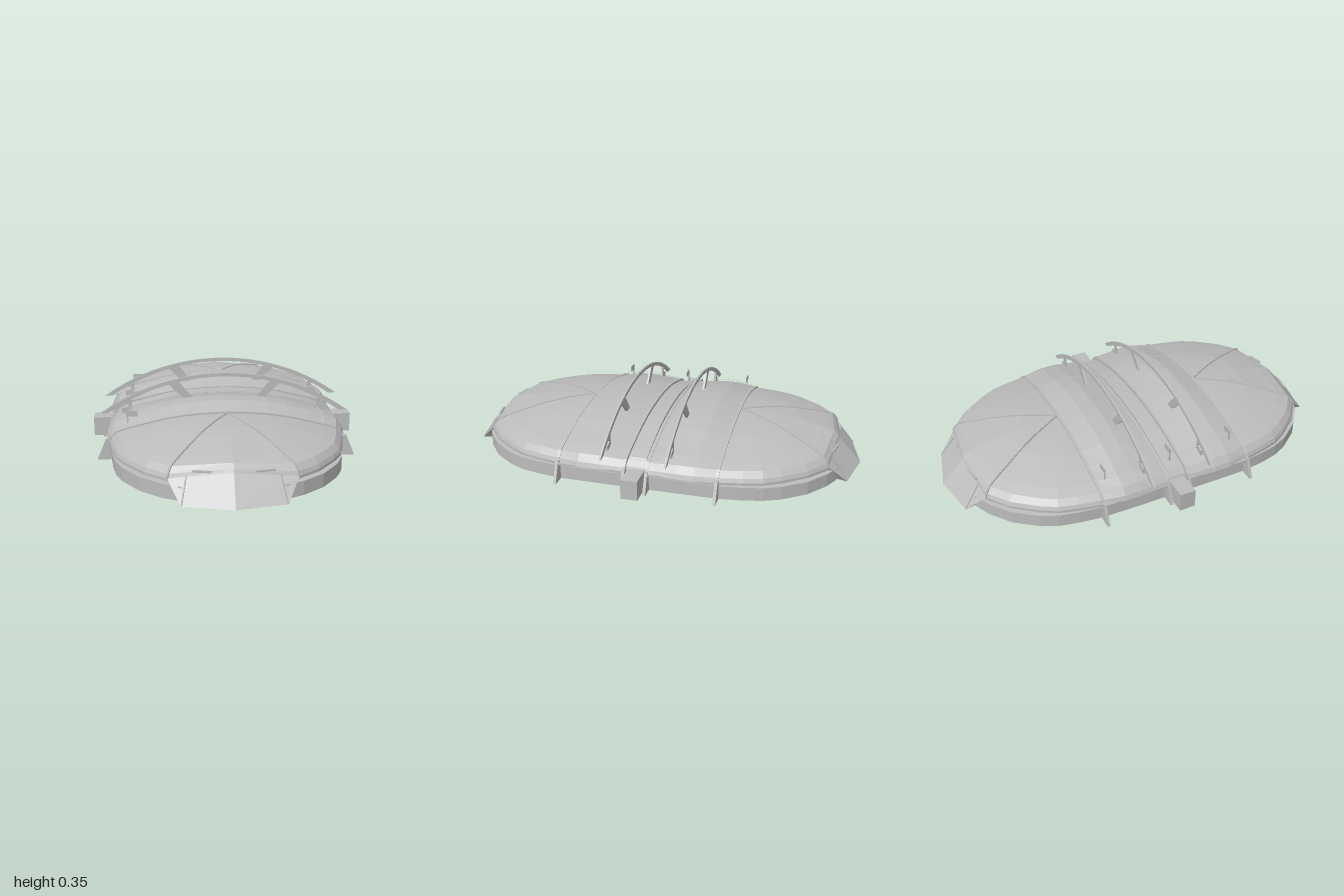
import * as THREE from 'three';

const grey = new THREE.MeshStandardMaterial({ color: 0xbcbcbc, side: THREE.DoubleSide });
grey.name = 'concrete grey';

// arch profile: [fraction of half span, fraction of rise]
const PROFILE = [[0, 1], [0.18, 0.98], [0.35, 0.92], [0.52, 0.81], [0.69, 0.64], [0.84, 0.48], [0.94, 0.34], [0.985, 0.14], [1, 0]];
const ARCH = [...PROFILE.slice(1).reverse().map(([u, v]) => [-u, v]), ...PROFILE];
const EDGE = 0.088;

function add(parent, name, geometry, x = 0, y = 0, z = 0) {
  const m = new THREE.Mesh(geometry, grey);
  m.name = name;
  m.position.set(x, y, z);
  parent.add(m);
  return m;
}

// faceted surface through rows of points
function loft(rows) {
  const pos = [];
  for (let i = 0; i < rows.length - 1; i++) {
    for (let j = 0; j < rows[i].length - 1; j++) {
      const a = rows[i][j], b = rows[i][j + 1], c = rows[i + 1][j + 1], d = rows[i + 1][j];
      pos.push(...a, ...b, ...c, ...a, ...c, ...d);
    }
  }
  const g = new THREE.BufferGeometry();
  g.setAttribute('position', new THREE.Float32BufferAttribute(pos, 3));
  g.computeVertexNormals();
  return g;
}

// flat plate in the xy plane, centred on its thickness
function plate(points, thick) {
  const s = new THREE.Shape(points.map(([x, y]) => new THREE.Vector2(x, y)));
  return new THREE.ExtrudeGeometry(s, { depth: thick, bevelEnabled: false }).translate(0, 0, -thick / 2);
}

const archRow = (z, w, peak) => ARCH.map(([u, v]) => [u * w, EDGE + (peak - EDGE) * v, z]);

// arched rib following a roof section
function rib(w, peak, thick, above = 0.005, below = 0.014) {
  const row = archRow(0, w, peak);
  return plate([...row.map(([x, y]) => [x, y + above]), ...row.reverse().map(([x, y]) => [x, y - below])], thick);
}

function bar(a, b, r) {
  return new THREE.TubeGeometry(new THREE.LineCurve3(new THREE.Vector3(...a), new THREE.Vector3(...b)), 1, r, 4, false);
}

const mirrorX = pts => pts.map(([x, y]) => [-x, y]);
const mirrored = pts => [...pts, ...pts.slice(0, -1).reverse().map(([x, z]) => [x, -z])];

// plan outlines of the +x side, front to middle
const RIM = [[0.28, 0.86], [0.38, 0.78], [0.465, 0.67], [0.51, 0.59], [0.535, 0.5], [0.557, 0.39]];
const WALL = mirrored([[0.22, 0.9], [0.3, 0.86], [0.4, 0.78], [0.48, 0.67], [0.515, 0.59], [0.535, 0.5], [0.55, 0.39], [0.552, 0.2], [0.552, 0]]);

// one half of the building: front dome, roof bay, truss and +x wall
function buildHalf() {
  const g = new THREE.Group();

  // domed end roof, a fan of curved panels around the apex
  const rim = [...RIM.slice().reverse().map(([x, z]) => [x, EDGE, z]), [0, 0.12, 0.89],
    ...RIM.map(([x, z]) => [-x, EDGE, z])];
  const onDome = ([x, y, z], [u, v]) => [x * u, y + (0.22 - y) * v, 0.39 + (z - 0.39) * u];
  add(g, 'endDome', loft(PROFILE.map(p => rim.map(r => onDome(r, p)))));
  for (const s of [-1, 1]) {
    const path = PROFILE.map(p => new THREE.Vector3(...onDome([0.28 * s, EDGE, 0.86], p)));
    add(g, 'domeRidge', new THREE.TubeGeometry(new THREE.CatmullRomCurve3(path), 24, 0.005, 4, false));
  }
  add(g, 'domeEaves', loft([rim.map(([x, y, z]) => [-x, y - 0.012, z]), rim.map(([x, y, z]) => [-x, y, z])]));

  // sloping entrance prow
  add(g, 'entrancePanel', loft([
    [[-0.225, 0, 0.95], [0, 0, 1], [0.225, 0, 0.95]],
    [[-0.28, EDGE, 0.86], [0, 0.12, 0.89], [0.28, EDGE, 0.86]]]));
  for (const s of [-1, 1]) {
    add(g, 'entranceCheek', loft([
      [[0.225 * s, 0, 0.95], [0.2 * s, 0, 0.86]],
      [[0.28 * s, EDGE, 0.86], [0.24 * s, EDGE, 0.8]]]));
    add(g, 'entranceSlot', new THREE.BoxGeometry(0.08, 0.008, 0.01), 0.135 * s, 0.124, 0.878).rotation.y = 0.2 * s;
    add(g, 'entranceJoint', bar([0.222 * s, 0.002, 0.951], [0.2 * s, 0.105, 0.875], 0.003));
  }

  // raised roof bay beside the middle band
  add(g, 'roofBay', loft([[0.39, 0.557, 0.222], [0.28, 0.58, 0.253], [0.2, 0.58, 0.253], [0.12, 0.575, 0.235], [0.055, 0.57, 0.222]]
    .map(a => archRow(...a))));
  for (const [z, w, p] of [[0.385, 0.56, 0.222], [0.055, 0.57, 0.221]]) {
    add(g, 'bayRib', rib(w, p, 0.014), 0, 0, z);
    for (const s of [-1, 1]) {
      const fin = [[0.5, 0], [0.617, 0], [0.575, 0.1], [0.5, 0.1]];
      add(g, 'buttress', plate(s > 0 ? fin : mirrorX(fin), 0.014), 0, 0, z);
    }
  }
  for (const s of [-1, 1]) {
    add(g, 'roofSeam', loft([0.05, 0.12, 0.2, 0.28, 0.39].map((z, i) => {
      const y = [0.168, 0.175, 0.185, 0.185, 0.162][i];
      return [[0.462 * s, y, z], [0.47 * s, y - 0.001, z]];
    })));
    add(g, 'bayEaves', new THREE.BoxGeometry(0.05, 0.01, 0.33), 0.55 * s, 0.086, 0.22);
  }

  // free-standing roof arch with its struts
  const outer = [], inner = [];
  for (let i = 0; i <= 24; i++) {
    const t = i / 12 - 1;
    outer.push([0.62 * t, Math.sqrt(1.06 ** 2 - (0.62 * t) ** 2) - 0.705]);
    inner.push([0.58 * t, Math.sqrt(1.01 ** 2 - (0.58 * t) ** 2) - 0.672]);
  }
  add(g, 'roofArch', plate([...outer, ...inner.reverse()], 0.01), 0, 0, 0.155);
  for (const strut of [[[0.235, 0.322], [0.16, 0.23], [0.205, 0.23], [0.285, 0.308]],
    [[0.47, 0.235], [0.5, 0.222], [0.475, 0.19], [0.51, 0.18], [0.51, 0.15], [0.46, 0.15]]]) {
    add(g, 'archStrut', plate(strut, 0.01), 0, 0, 0.155);
    add(g, 'archStrut', plate(mirrorX(strut), 0.01), 0, 0, 0.155);
  }

  // trusses beneath the roof
  for (const [z, w, p] of [[0.37, 0.5, 0.195], [0.155, 0.5, 0.21]]) {
    add(g, 'trussTop', rib(w, p, 0.01, 0, 0.008), 0, 0, z);
    add(g, 'trussBottom', rib(w * 0.9, p - 0.045, 0.01, 0, 0.008), 0, 0, z);
    const top = x => EDGE + (p - EDGE) * (1 - Math.abs(x / w) ** 2.3);
    for (let i = -6; i < 6; i++) {
      const a = i * 0.065, b = a + 0.065;
      const lift = x => (Math.abs(x / 0.065) % 2 < 0.5 ? 0 : 0.045);
      add(g, 'trussWeb', bar([a, top(a) - lift(a), z], [b, top(b) - lift(b), z], 0.004));
    }
  }
  for (const x of [-0.25, 0, 0.25]) {
    add(g, 'roofPurlin', new THREE.BoxGeometry(0.012, 0.012, 0.37), x, 0.172, 0.185);
  }

  // lower wall with a recessed band above, along the +x side
  const ring = (k, y) => WALL.map(([x, z]) => [x * k, y, z * k]);
  add(g, 'lowerWall', loft([ring(1, 0), ring(1, 0.065), ring(0.95, 0.067), ring(0.95, 0.09)]));
  add(g, 'seatingBowl', loft([ring(0.95, 0.085), ring(0.6, 0.022)]));

  // radial ribs between floor and wall
  const curve = new THREE.CurvePath();
  WALL.slice(1).forEach(([x, z], i) => curve.add(new THREE.LineCurve(new THREE.Vector2(...WALL[i]), new THREE.Vector2(x, z))));
  for (let i = 0; i <= 24; i++) {
    const p = curve.getPointAt(i / 24);
    add(g, 'wallRib', loft([
      [[p.x * 0.85, 0.01, p.y * 0.85], [p.x * 0.99, 0.01, p.y * 0.99]],
      [[p.x * 0.85, 0.062, p.y * 0.85], [p.x * 0.99, 0.062, p.y * 0.99]]]));
  }

  // block at the end of the middle beam
  add(g, 'beamEnd', new THREE.BoxGeometry(0.145, 0.096, 0.08), 0.5925, 0.048, 0);
  return g;
}

export function createModel() {
  const model = new THREE.Group();
  model.name = 'stadium';

  const front = buildHalf();
  front.name = 'frontHalf';
  const back = buildHalf();
  back.name = 'backHalf';
  back.rotation.y = Math.PI;
  model.add(front, back);

  // sunken middle roof band
  add(model, 'middleBand', loft([archRow(0.055, 0.55, 0.212), archRow(-0.055, 0.55, 0.212)]));
  add(model, 'middleBeam', rib(0.54, 0.22, 0.08));

  // floor slab with a chamfered pitch opening
  const half = WALL.map(([x, z]) => [x * 0.86, z * 0.86]);
  const floor = new THREE.Shape([...half, ...half.map(([x, z]) => [-x, -z])].map(p => new THREE.Vector2(...p)));
  floor.holes.push(new THREE.Path([[0.22, 0.46], [0.26, 0.42], [0.26, -0.42], [0.22, -0.46],
    [-0.22, -0.46], [-0.26, -0.42], [-0.26, 0.42], [-0.22, 0.46]].map(p => new THREE.Vector2(...p))));
  const slab = new THREE.ExtrudeGeometry(floor, { depth: 0.012, bevelEnabled: false });
  add(model, 'floorSlab', slab.rotateX(Math.PI / 2), 0, 0.022, 0);

  // flags along the -x side of the roof
  for (const z of [-0.34, 0, 0.33]) {
    add(model, 'flagPole', new THREE.BoxGeometry(0.006, 0.075, 0.006), -0.473, 0.183, z);
    add(model, 'flag', new THREE.BoxGeometry(0.055, 0.028, 0.004), -0.452, 0.207, z);
  }
  return model;
}
